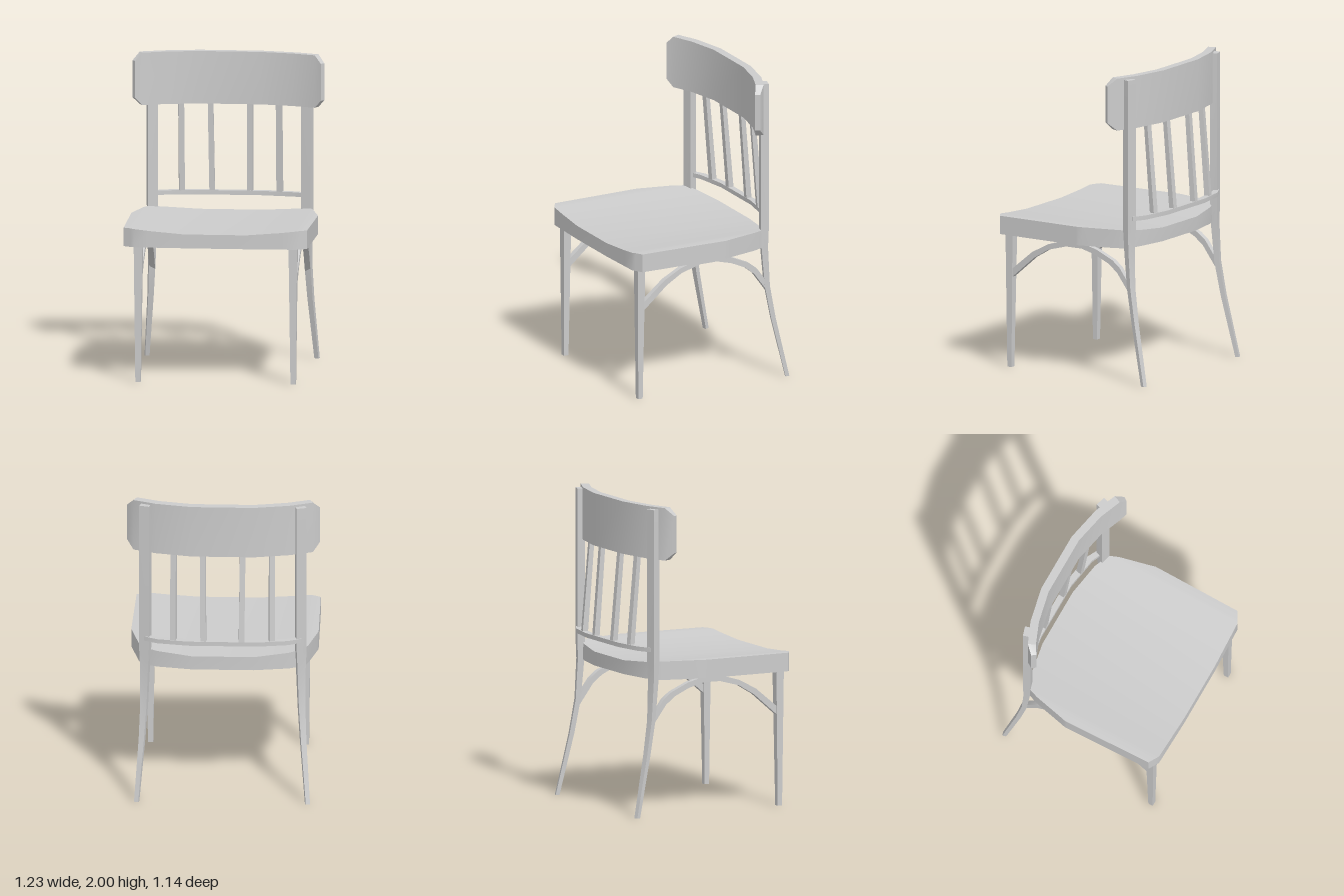
import * as THREE from 'three';
import { toCreasedNormals } from 'three/addons/utils/BufferGeometryUtils.js';

const material = new THREE.MeshStandardMaterial({ color: 0xcccccc });

// Skin four-cornered cross-sections into a closed solid, facing outwards.
function loft(name, sections) {
  const pos = sections.flat(2);
  const index = [];
  const n = sections.length;
  const quad = (a, b, c, d) => index.push(a, b, c, a, c, d);
  for (let i = 0; i < n - 1; i++) {
    for (let j = 0; j < 4; j++) {
      const k = (j + 1) % 4;
      quad(i * 4 + j, i * 4 + k, i * 4 + 4 + k, i * 4 + 4 + j);
    }
  }
  const e = (n - 1) * 4;
  quad(3, 2, 1, 0);
  quad(e, e + 1, e + 2, e + 3);

  // A negative volume means the faces point inwards, so flip them.
  const v = (i) => new THREE.Vector3().fromArray(pos, i * 3);
  let volume = 0;
  for (let t = 0; t < index.length; t += 3) {
    volume += v(index[t]).dot(v(index[t + 1]).cross(v(index[t + 2])));
  }
  if (volume < 0) index.reverse();

  const geometry = new THREE.BufferGeometry();
  geometry.setAttribute('position', new THREE.Float32BufferAttribute(pos, 3));
  geometry.setIndex(index);
  const mesh = new THREE.Mesh(toCreasedNormals(geometry, 0.55), material);
  mesh.name = name;
  return mesh;
}

// Symmetric part running across x.
// Each station: [front x, front z, back x, back z, bottom y, top y].
function across(name, half) {
  const mirrored = half.map(([xf, zf, xb, zb, b, t]) => [-xf, zf, -xb, zb, b, t]).reverse();
  return loft(name, [...mirrored, ...half].map(([xf, zf, xb, zb, b, t]) => [
    [xf, b, zf], [xf, t, zf], [xb, t, zb], [xb, b, zb],
  ]));
}

// Upright bar. Each station: [y, centre x, centre z, width, depth]; turned about y.
function upright(name, side, stations, turn = 0) {
  const c = Math.cos(turn), s = Math.sin(turn);
  return loft(name, stations.map(([y, x, z, w, d]) =>
    [[-1, -1], [1, -1], [1, 1], [-1, 1]].map(([i, j]) => {
      const u = i * w / 2, v = j * d / 2;
      return [side * (x + u * c - v * s), y, z + u * s + v * c];
    })));
}

export function createModel() {
  const chair = new THREE.Group();
  chair.name = 'chair';

  // Saddled seat: lower in the middle, with clipped front corners and a bowed back
  chair.add(across('seat', [
    [0.2, 0.57, -0.47, 0.97],
    [0.42, 0.563, -0.43, 0.987],
    [0.52, 0.56, -0.385, 0.998],
    [0.545, 0.546, -0.32, 1.0],
    [0.59, 0.52, -0.125, 1.0],
    [0.6, -0.07, -0.085, 1.0],
  ].map(([x, zf, zb, top]) => [x, zf, x, zb, 0.88, top])));

  // Curved backrest with clipped corners
  chair.add(across('backrest', [
    [0.2, -0.425, 0.2, -0.478, 1.66, 2.0],
    [0.41, -0.38, 0.43, -0.43, 1.66, 2.0],
    [0.555, -0.322, 0.575, -0.37, 1.66, 2.0],
    [0.597, -0.295, 0.617, -0.322, 1.71, 1.95],
  ]));

  // Thin bowed rail under the spindles
  chair.add(across('lowerBackRail', [
    [0.2, -0.48, 0.22, -0.52, 1.062, 1.09],
    [0.41, -0.445, 0.42, -0.485, 1.062, 1.09],
    [0.49, -0.41, 0.505, -0.44, 1.062, 1.09],
  ]));

  for (const side of [1, -1]) {
    const label = side > 0 ? 'left' : 'right';

    // Tapered front leg
    chair.add(upright(label + 'FrontLeg', side, [
      [0, 0.499, 0.495, 0.034, 0.032],
      [0.9, 0.498, 0.492, 0.056, 0.054],
    ]));

    // Back leg sweeping out below the seat and rising into a post
    chair.add(upright(label + 'BackPost', side, [
      [0, 0.547, -0.555, 0.028, 0.025],
      [0.4, 0.516, -0.468, 0.036, 0.03],
      [0.62, 0.504, -0.43, 0.043, 0.033],
      [0.88, 0.499, -0.413, 0.054, 0.042],
      [1.0, 0.498, -0.413, 0.065, 0.05],
      [1.985, 0.498, -0.413, 0.065, 0.05],
    ], 0.29));

    // Leaning spindles
    for (const [name, xLow, xHigh, zLow, zHigh, turn] of [
      ['InnerSpindle', 0.122, 0.128, -0.5, -0.45, 0.06],
      ['OuterSpindle', 0.315, 0.315, -0.48, -0.428, 0.2],
    ]) {
      chair.add(upright(label + name, side, [
        [1.08, xLow, zLow, 0.036, 0.036],
        [1.7, xHigh, zHigh, 0.036, 0.03],
      ], turn));
    }

    // Arched brace between front and back legs: [outer z, outer y, inner z, inner y]
    chair.add(loft(label + 'ArchedBrace', [
      [0.48, 0.64, 0.48, 0.585],
      [0.32, 0.773, 0.305, 0.737],
      [0.2, 0.837, 0.195, 0.803],
      [0.065, 0.876, 0.06, 0.84],
      [-0.06, 0.876, -0.06, 0.84],
      [-0.17, 0.848, -0.165, 0.812],
      [-0.295, 0.792, -0.265, 0.766],
      [-0.35, 0.748, -0.33, 0.715],
      [-0.425, 0.645, -0.425, 0.585],
    ].map(([zo, yo, zi, yi]) => [
      [side * 0.482, yo, zo], [side * 0.518, yo, zo],
      [side * 0.518, yi, zi], [side * 0.482, yi, zi],
    ])));
  }

  return chair;
}
